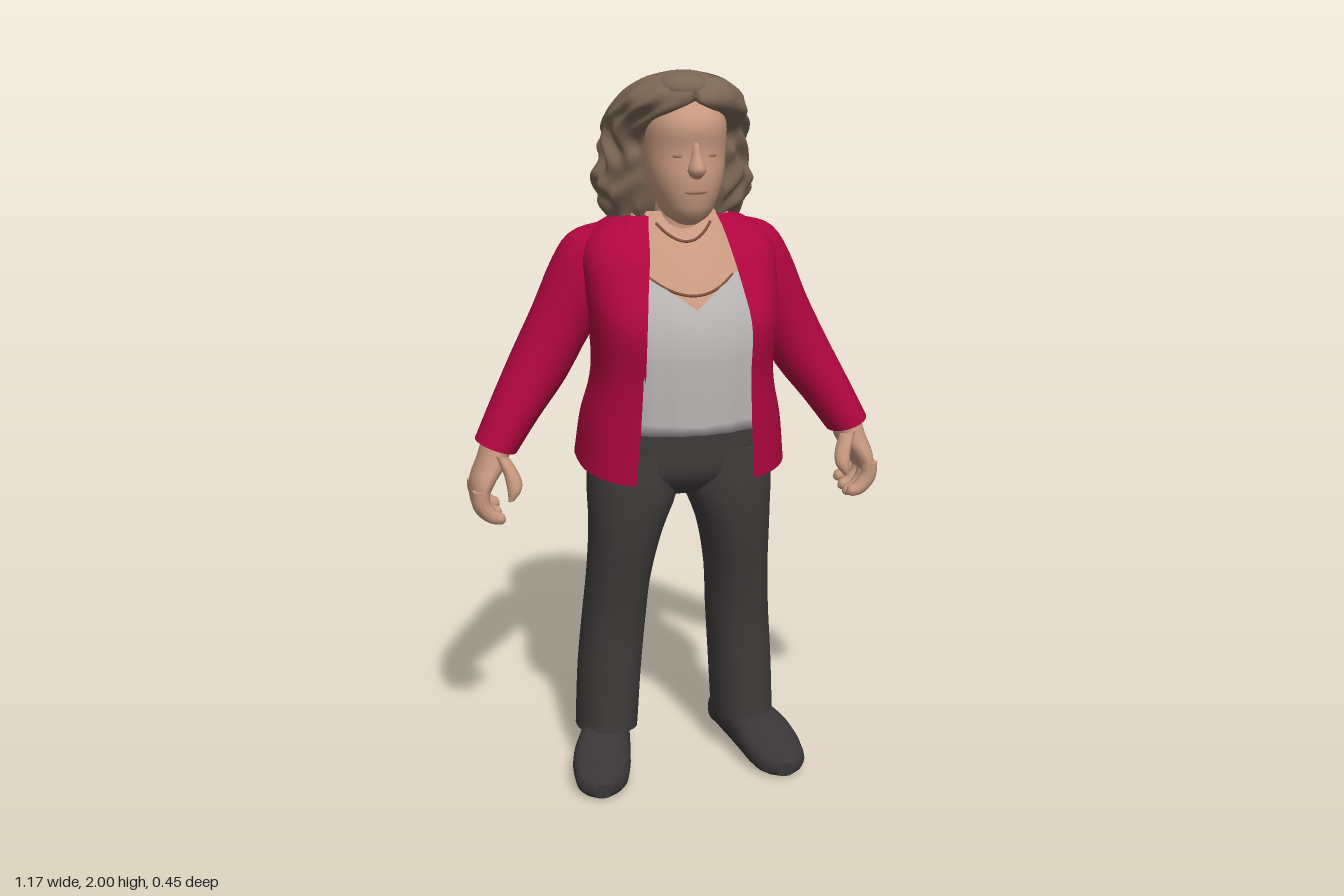
import * as THREE from 'three';

const mat = (name, color) =>
  Object.assign(new THREE.MeshStandardMaterial({ color, side: THREE.DoubleSide }), { name });

// Smooth lookup in a table of rows; the first number of each row is the parameter.
function table(rows) {
  const f = new THREE.CubicInterpolant(rows.map(r => r[0]),
    new Float32Array(rows.flatMap(r => r.slice(1))), rows[0].length - 1);
  return t => Array.from(f.evaluate(t));
}
const range = (n, a, b) => Array.from({ length: n + 1 }, (_, i) => a + (b - a) * i / n);
const spow = (v, p) => Math.sign(v) * Math.abs(v) ** p;

// Skin over a list of rings. Closed rings wrap round; pick() chooses a material per triangle.
function skin(rings, closed, pick) {
  const n = rings[0].length, lists = [[], []];
  const pts = rings.flat();
  const tri = (a, b, c) => {
    const m = [0, 1, 2].map(k => (pts[a][k] + pts[b][k] + pts[c][k]) / 3);
    lists[pick && pick(...m) ? 1 : 0].push(a, b, c);
  };
  for (let i = 0; i < rings.length - 1; i++)
    for (let j = 0; j < (closed ? n : n - 1); j++) {
      const k = (j + 1) % n, a = i * n + j, b = i * n + k;
      tri(a, b, a + n);
      tri(b, b + n, a + n);
    }
  const g = new THREE.BufferGeometry();
  g.setAttribute('position', new THREE.Float32BufferAttribute(pts.flat(), 3));
  g.setIndex([...lists[0], ...lists[1]]);
  if (pick) {
    g.addGroup(0, lists[0].length, 0);
    g.addGroup(lists[0].length, lists[1].length, 1);
  }
  g.computeVertexNormals();
  return g;
}
// Closed loft with crisp flat ends.
function loft(rings) {
  const cap = r => {
    const c = [0, 1, 2].map(k => r.reduce((s, p) => s + p[k], 0) / r.length);
    return r.map(() => [...c]);
  };
  const first = rings[0], last = rings[rings.length - 1];
  return skin([cap(first), first, ...rings, last, cap(last)], true);
}
const angles = n => range(n, 0, Math.PI * 2).slice(0, n);

// Level section point: half width, front z, back z, angle from the front, squareness.
const section = (y, hw, zf, zb, a, p) =>
  [hw * spow(Math.sin(a), p), y, (zf + zb) / 2 + (zf - zb) / 2 * spow(Math.cos(a), p)];
// Body from rows [y, halfWidth, frontZ, backZ].
function body(rows, p, steps, n = 28) {
  const f = table(rows);
  return loft(range(steps, rows[0][0], rows[rows.length - 1][0])
    .map(y => angles(n).map(a => section(y, ...f(y).slice(0, 3), a, p))));
}
// Limb from rows [x, y, z, radius across, radius in z, tilt in degrees].
function limb(rows, n = 16, sub = 3) {
  const f = table(rows.map((r, i) => [i, ...r]));
  return loft(range((rows.length - 1) * sub, 0, rows.length - 1).map(s => {
    const [x, y, z, ru, rz, deg] = f(s), t = deg * Math.PI / 180;
    return angles(n).map(a => [x + ru * Math.cos(a) * Math.cos(t),
      y + ru * Math.cos(a) * Math.sin(t), z + rz * Math.sin(a)]);
  }));
}

export function createModel() {
  const M = {
    jacket: mat('crimson jacket', 0xb0063f), pants: mat('charcoal trousers', 0x3f3b3b),
    shoe: mat('dark shoe', 0x393536), skin: mat('skin', 0xc99a80), hair: mat('brown hair', 0x7b6756),
    roots: mat('dark hair', 0x403d40), shirt: mat('light grey top', 0xbab7b6),
    feature: mat('face detail', 0xa67863), chain: mat('necklace', 0x80543f),
  };
  const model = new THREE.Group();
  const add = (name, geo, material, parent = model) => {
    const m = new THREE.Mesh(geo, material);
    m.name = name;
    parent.add(m);
    return m;
  };

  // Jacket: [y, halfWidth, frontZ, backZ, half opening], lower at the front hem
  const jacketAt = table([
    [0.91, 0.29, 0.205, -0.22, 0.165], [1.05, 0.275, 0.213, -0.203, 0.155], [1.2, 0.247, 0.225, -0.175, 0.148],
    [1.35, 0.255, 0.235, -0.18, 0.145], [1.45, 0.265, 0.178, -0.185, 0.13], [1.53, 0.262, 0.125, -0.18, 0.115],
    [1.59, 0.215, 0.065, -0.165, 0.105], [1.625, 0.13, 0.03, -0.12, 0.095]]);
  const angleAtX = (x, hw) => Math.asin(Math.min(1, Math.max(0, x) / hw) ** (1 / 0.75));
  add('jacketBody', skin(range(30, 0.91, 1.625).map(y => {
    const [hw, zf, zb, open] = jacketAt(y), a0 = angleAtX(open, hw);
    return range(44, a0, Math.PI * 2 - a0).map(a => {
      const p = section(y, hw, zf, zb, a, 0.75);
      p[1] += 0.035 * (1 - Math.cos(a)) * Math.max(0, (1.15 - y) / 0.24);
      return p;
    });
  }), false), M.jacket);

  // Front of chest, shared by the top, the skin above it and the necklace
  const chestZ = table([[1.05, 0.222], [1.2, 0.226], [1.3, 0.222], [1.38, 0.2], [1.45, 0.162],
    [1.53, 0.108], [1.6, 0.055], [1.64, 0.03]]);
  const chest = (x, y, lift = 0) => [x, y, chestZ(y)[0] - 0.035 * (x / 0.15) ** 2 + lift];
  const shirtX = range(20, -0.185, 0.185);
  add('top', skin([shirtX.map(x => [x, 1.06, 0.08]), ...range(14, 0, 1).map(v => shirtX.map(x => {
    const top = 1.39 + 0.085 * Math.min(1, Math.abs(x) / 0.12);
    const y = 1.055 + (top - 1.055) * v;
    return chest(x, y, 0.003 * Math.sin(x * 90) * (1 - v));
  }))], false), M.shirt);
  add('chestSkin', skin(range(10, 1.34, 1.63).map(y =>
    range(12, -0.135, 0.135).map(x => chest(x, y, -0.006))), false), M.skin);
  for (const [low, high, w] of [[1.425, 1.47, 0.115], [1.555, 1.6, 0.075]]) {
    const pts = range(10, -1, 1).map(t => new THREE.Vector3(...chest(t * w, low + (high - low) * t * t, -0.003)));
    add('necklace', new THREE.TubeGeometry(new THREE.CatmullRomCurve3(pts), 24, 0.004, 5), M.chain);
  }

  // Trousers seat
  add('trouserSeat', body([[0.85, 0.13, 0.08, -0.09], [0.9, 0.245, 0.125, -0.14], [0.97, 0.258, 0.135, -0.15],
    [1.1, 0.235, 0.14, -0.14]], 0.85, 10), M.pants);

  // Paired parts, made once on the left and mirrored
  for (const side of [1, -1]) {
    const half = new THREE.Group();
    half.name = side > 0 ? 'leftSide' : 'rightSide';
    half.scale.x = side;
    model.add(half);

    const legAt = table([[0.11, 0.207, -0.06, 0.088, 0.122], [0.3, 0.197, -0.056, 0.09, 0.117],
      [0.45, 0.185, -0.045, 0.09, 0.11], [0.6, 0.173, -0.022, 0.09, 0.117], [0.75, 0.155, 0, 0.104, 0.127],
      [0.86, 0.135, -0.003, 0.127, 0.138], [0.98, 0.13, -0.005, 0.127, 0.135]]);
    add('trouserLeg', loft(range(22, 0.11, 0.98).map(y => {
      const [cx, cz, rx, rz] = legAt(y);
      return angles(24).map(a => [cx + rx * spow(Math.sin(a), 0.9),
        y + (y < 0.12 ? 0.02 * Math.cos(a) : 0), cz + rz * spow(Math.cos(a), 0.9)]);
    })), M.pants, half);

    // Shoe: [z, halfWidth, topY, bottomY, centreX]
    const shoeAt = table([[-0.178, 0.03, 0.085, 0.04, 0.19], [-0.163, 0.055, 0.12, 0.028, 0.19],
      [-0.1, 0.065, 0.15, 0.024, 0.198], [0, 0.076, 0.15, 0.014, 0.225], [0.06, 0.084, 0.125, 0.008, 0.245],
      [0.13, 0.08, 0.09, 0.002, 0.258], [0.18, 0.06, 0.068, 0, 0.266], [0.2, 0.025, 0.045, 0.004, 0.268]]);
    add('shoe', loft(range(22, -0.178, 0.2).map(z => {
      const [hw, top, bot, cx] = shoeAt(z);
      return angles(20).map(a => [cx - hw * spow(Math.sin(a), 0.75),
        Math.max(0, (top + bot) / 2 + (top - bot) / 2 * spow(Math.cos(a), 0.8)), z]);
    })), M.shoe, half);

    add('sleeve', limb([[0.1, 1.5, -0.06, 0.1, 0.085, 90], [0.185, 1.49, -0.07, 0.105, 0.095, 76],
      [0.23, 1.465, -0.08, 0.113, 0.1, 60], [0.26, 1.42, -0.085, 0.105, 0.1, 45],
      [0.31, 1.33, -0.09, 0.088, 0.095, 30], [0.38, 1.2, -0.085, 0.083, 0.09, 27],
      [0.45, 1.09, -0.065, 0.07, 0.082, 24], [0.51, 0.99, -0.045, 0.06, 0.075, 20]], 20), M.jacket, half);

    // Lapel and collar with a notch between them
    const lapelWidth = y => y < 1.515 ? 0.085 * Math.max(0, (y - 1.2) / 0.315) : y < 1.53 ? 0.05 : 0.062;
    add('lapel', skin([...range(12, 1.2, 1.51), 1.514, 1.516, 1.529, 1.531, 1.56, 1.59, 1.615].map(y => {
      const [hw, zf, zb, open] = jacketAt(y);
      return range(5, 0, 1).map(t => {
        const p = section(y, hw, zf, zb, angleAtX(open - 0.004 + lapelWidth(y) * t, hw), 0.75);
        return [p[0], p[1] + 0.004, p[2] + 0.009];
      });
    }), false), M.jacket, half);

    // Hand with curled fingers and thumb
    add('palm', limb([[0.505, 1.01, -0.045, 0.042, 0.052, 20], [0.522, 0.95, -0.045, 0.042, 0.066, 12],
      [0.548, 0.9, -0.043, 0.037, 0.08, 0], [0.56, 0.855, -0.04, 0.026, 0.078, -10]]), M.skin, half);
    [-0.1, -0.06, -0.02, 0.017].forEach((z, i) => {
      const y = [0.02, 0.005, 0, 0.01][i];
      add('finger', limb([[0.562, 0.88, z, 0.025, 0.024, 0], [0.56, 0.83 + y, z, 0.024, 0.023, -25],
        [0.535, 0.796 + y, z, 0.021, 0.022, -50], [0.508, 0.785 + y, z, 0.016, 0.018, -70],
        [0.498, 0.782 + y, z, 0.006, 0.007, -80]], 10), M.skin, half);
    });
    add('thumb', limb([[0.5, 0.97, 0, 0.024, 0.028, 20], [0.478, 0.925, 0.025, 0.024, 0.026, 15],
      [0.473, 0.885, 0.04, 0.02, 0.021, 0], [0.483, 0.855, 0.045, 0.009, 0.01, -15]], 10), M.skin, half);

    // Eye and brow
    const eye = add('eye', new THREE.SphereGeometry(1, 12, 8), M.feature, half);
    eye.scale.set(0.015, 0.006, 0.004);
    eye.position.set(0.045, 1.79, 0.168);
    eye.rotation.y = 0.4;
  }

  // Head: [y, halfWidth, frontZ, backZ]
  add('neck', body([[1.5, 0.085, 0.06, -0.1], [1.58, 0.07, 0.06, -0.08], [1.72, 0.065, 0.06, -0.08]], 1, 6), M.skin);
  add('head', body([[1.605, 0.025, 0.125, 0.04], [1.625, 0.055, 0.158, -0.02], [1.67, 0.08, 0.178, -0.05],
    [1.73, 0.1, 0.186, -0.08], [1.8, 0.108, 0.18, -0.1], [1.87, 0.108, 0.186, -0.1], [1.93, 0.09, 0.15, -0.08]],
  0.9, 20, 32), M.skin);
  add('nose', body([[1.733, 0.012, 0.194, 0.15], [1.75, 0.024, 0.217, 0.15], [1.768, 0.021, 0.214, 0.15],
    [1.79, 0.014, 0.2, 0.15], [1.825, 0.011, 0.184, 0.15]], 1, 10, 14), M.skin);
  const mouth = add('mouth', new THREE.SphereGeometry(1, 14, 8), M.feature);
  mouth.scale.set(0.03, 0.006, 0.0045);
  mouth.position.set(0, 1.698, 0.181);

  // Hair: [y, halfWidth, frontZ, backZ, half face opening], waved and folded in at the face
  const hairAt = table([[1.595, 0.165, 0.03, -0.165, 0.1], [1.65, 0.203, 0.05, -0.203, 0.105],
    [1.7, 0.216, 0.06, -0.215, 0.106], [1.77, 0.2, 0.07, -0.208, 0.108], [1.84, 0.196, 0.085, -0.2, 0.108],
    [1.88, 0.186, 0.13, -0.19, 0.095], [1.905, 0.178, 0.162, -0.18, 0.05], [1.93, 0.163, 0.172, -0.155, 0],
    [1.965, 0.125, 0.155, -0.095, 0], [1.985, 0.085, 0.12, -0.04, 0], [1.997, 0.03, 0.06, 0.01, 0]]);
  const hairRings = range(52, 1.595, 1.997).map(y => {
    const [hw, zf, zb, open] = hairAt(y), a0 = Math.asin(Math.min(1, Math.max(0, open) / hw) ** (1 / 0.9));
    const fade = Math.min(1, (2 - y) / 0.12), inner = [0.35, 0.7];
    const ring = range(90, a0, Math.PI * 2 - a0).map(a => {
      const w = 1 + fade * (0.03 * Math.sin(a * 13 + 2.5 * Math.sin(y * 28)) + 0.025 * Math.sin(y * 75 + 2 * Math.sin(a * 5)));
      const p = section(y, hw * w, zf, zb, a, 0.9);
      const zc = (zf + zb) / 2;
      p[2] = zc + (p[2] - zc) * w;
      p[1] += 0.012 * Math.sin(a * 9) * Math.max(0, 1 - (y - 1.595) / 0.06);
      return p;
    });
    const fold = (p, k) => [p[0] * k, p[1], p[2] - 0.05 * (1 - k) - 0.02];
    const end = ring[ring.length - 1];
    return [...inner.map(k => fold(ring[0], k)), ...ring, ...inner.reverse().map(k => fold(end, k))];
  });
  const shrink = (r, k) => r.map(p => [p[0] * k, p[1], -0.07 + (p[2] + 0.07) * k]);
  const top = hairRings[hairRings.length - 1];
  const darkPatch = (x, y, z) => y > 1.88 && ((x - 0.045) / 0.125) ** 2 + ((z + 0.01) / 0.092) ** 2 < 1
    && !(x < 0.05 && z > 0.03);
  add('hair', skin([shrink(hairRings[0], 0.3), ...hairRings, top.map(() => [0, 1.999, 0.035])], false, darkPatch),
    [M.hair, M.roots]);
  const quiff = add('fringe', new THREE.SphereGeometry(1, 20, 14), M.hair);
  quiff.scale.set(0.075, 0.042, 0.07);
  quiff.position.set(-0.015, 1.956, 0.098);

  return model;
}
